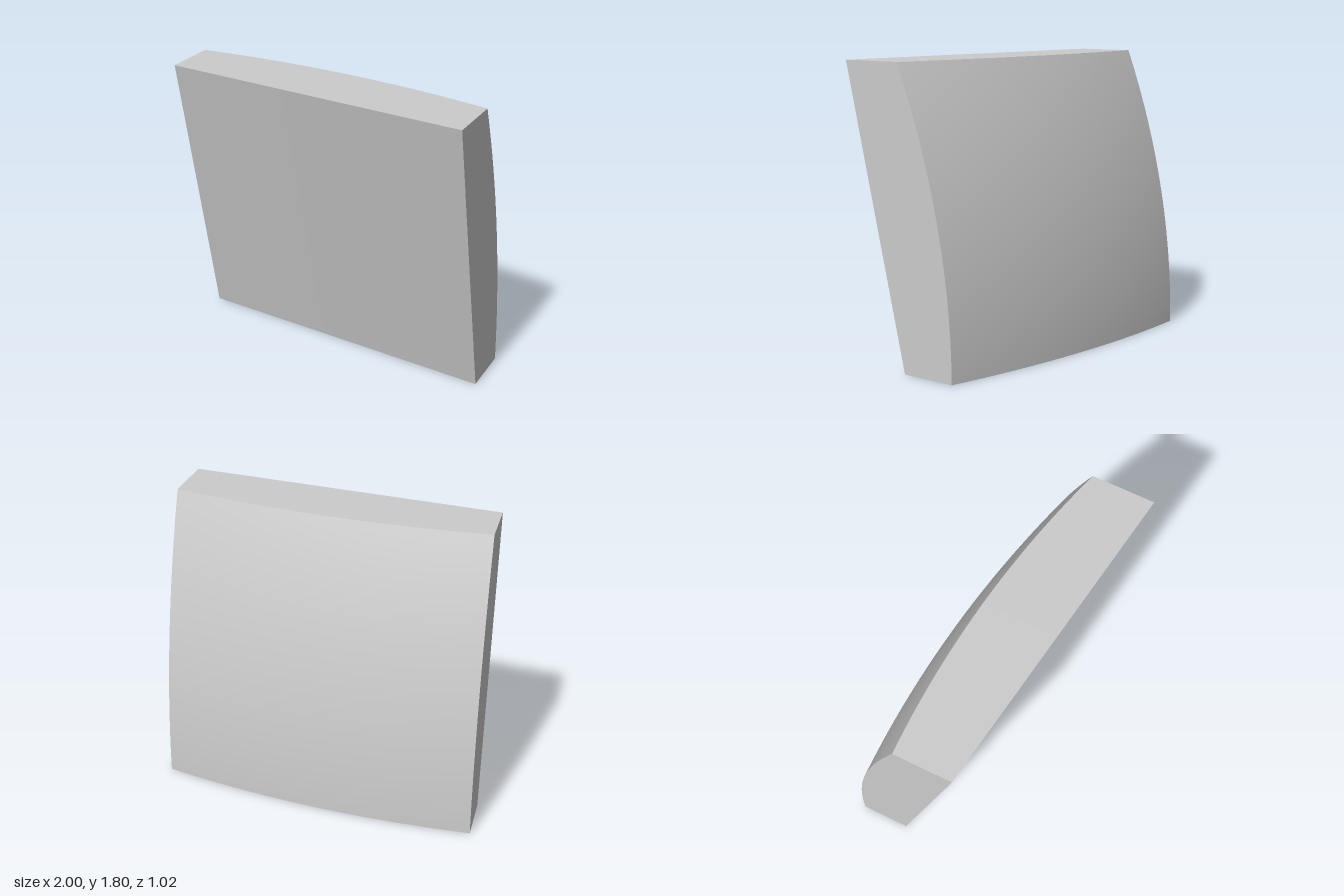
import * as THREE from 'three';

const HEIGHT = 1.8;

// Flat leaning front: z blended between the four corners
function frontZ(x, y) {
  const u = (x + 1) / 2, v = y / HEIGHT;
  const bottom = THREE.MathUtils.lerp(-0.2, 0.09, u);
  const top = THREE.MathUtils.lerp(0.21, 0.51, u);
  return THREE.MathUtils.lerp(bottom, top, v);
}

// Domed back: deepest point low down near the -x side
function backZ(x, y) {
  const a = (x + 0.8) ** 2, b = y * y;
  return -0.51 + 0.077 * a + 0.11 * b + 0.0023 * a * b;
}

export function createModel() {
  const group = new THREE.Group();
  group.name = 'curvedPanel';

  // Box with its front and back faces moved onto the two surfaces
  const geometry = new THREE.BoxGeometry(2, HEIGHT, 1, 40, 40, 1);
  geometry.translate(0, HEIGHT / 2, 0);
  const p = geometry.attributes.position;
  for (let i = 0; i < p.count; i++) {
    const x = p.getX(i), y = p.getY(i);
    p.setZ(i, p.getZ(i) > 0 ? frontZ(x, y) : backZ(x, y));
  }
  geometry.computeVertexNormals();

  const panel = new THREE.Mesh(geometry, new THREE.MeshStandardMaterial({ color: 0xcccccc }));
  panel.name = 'panel';
  group.add(panel);
  return group;
}
